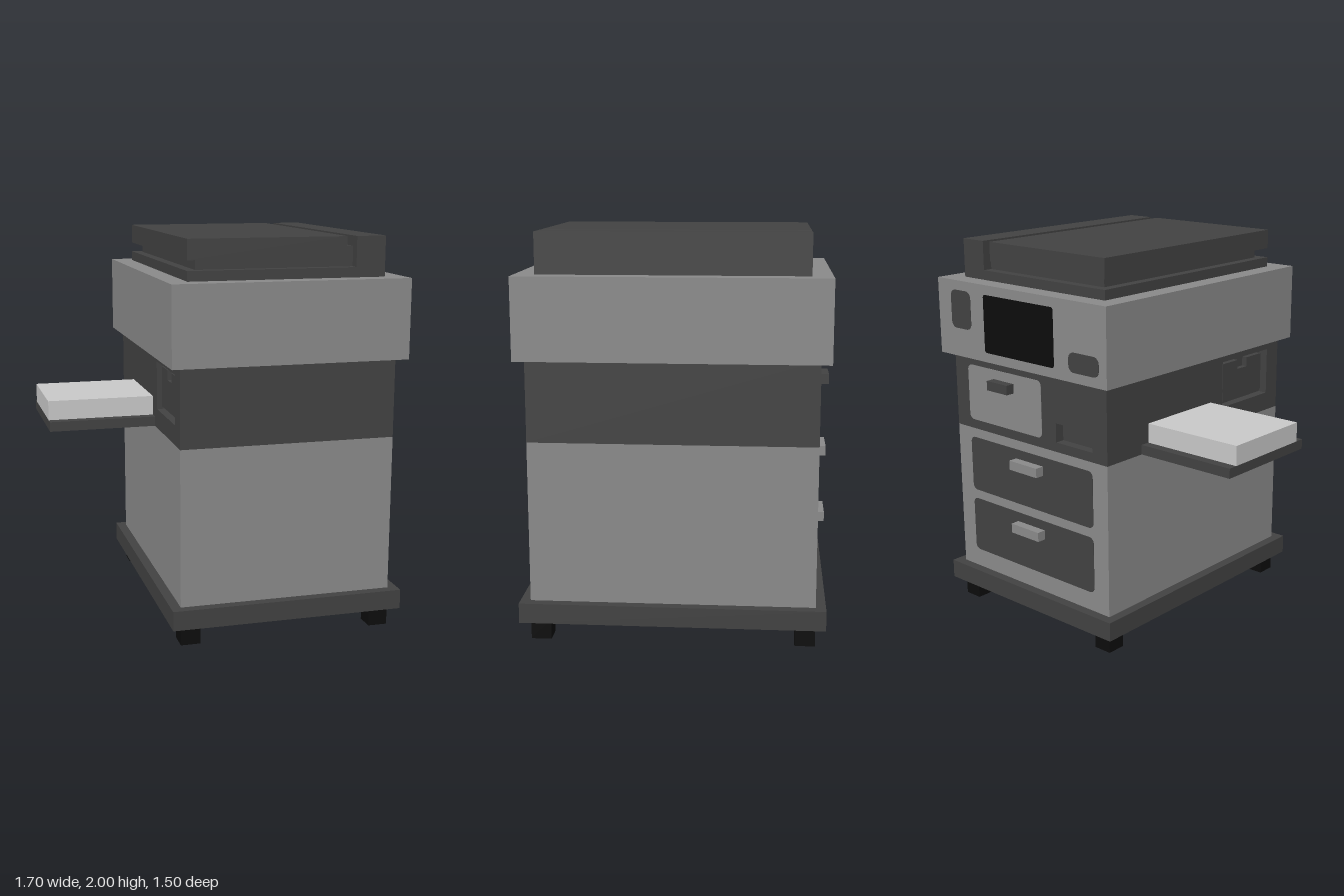
import * as THREE from 'three';

function mat(name, color) {
  const m = new THREE.MeshStandardMaterial({ color });
  m.name = name;
  return m;
}

// Rectangle outline with optional rounded corners
function outline(x0, x1, y0, y1, r = 0, Type = THREE.Shape) {
  const s = new Type();
  if (r === 0) {
    s.moveTo(x0, y0).lineTo(x1, y0).lineTo(x1, y1).lineTo(x0, y1).closePath();
    return s;
  }
  s.absarc(x1 - r, y0 + r, r, -Math.PI / 2, 0);
  s.absarc(x1 - r, y1 - r, r, 0, Math.PI / 2);
  s.absarc(x0 + r, y1 - r, r, Math.PI / 2, Math.PI);
  s.absarc(x0 + r, y0 + r, r, Math.PI, Math.PI * 1.5);
  s.closePath();
  return s;
}

export function createModel() {
  const group = new THREE.Group();
  group.name = 'officeCopier';
  const grey = mat('grey casing', 0x8a8a8a);
  const dark = mat('dark casing', 0x424242);
  const black = mat('black', 0x0c0c0c);
  const white = mat('paper', 0xc9c9c9);

  function add(name, geometry, material) {
    const mesh = new THREE.Mesh(geometry, material);
    mesh.name = name;
    group.add(mesh);
    return mesh;
  }
  // Box given by its limits on each axis
  function box(name, material, x0, x1, y0, y1, z0, z1) {
    const mesh = add(name, new THREE.BoxGeometry(x1 - x0, y1 - y0, z1 - z0), material);
    mesh.position.set((x0 + x1) / 2, (y0 + y1) / 2, (z0 + z1) / 2);
    return mesh;
  }
  const extrude = (shape, depth) =>
    new THREE.ExtrudeGeometry(shape, { depth, bevelEnabled: false, curveSegments: 6 });
  // Thin rounded panel lying on a wall that faces -z
  function panel(name, material, x0, x1, y0, y1, r, wallZ) {
    const mesh = add(name, extrude(outline(x0, x1, y0, y1, r), 0.003), material);
    mesh.position.z = wallZ - 0.002;
  }

  // Feet and base
  for (const x of [-0.3, 0.7])
    for (const z of [-0.7, 0.6]) box('foot', black, x, x + 0.1, 0, 0.1, z, z + 0.1);
  box('basePlate', dark, -0.35, 0.85, 0.1, 0.2, -0.75, 0.75);

  // Cabinet with two drawers
  box('cabinet', grey, -0.3, 0.8, 0.2, 1, -0.7, 0.7);
  for (const y of [0.3, 0.65]) {
    panel('drawerFront', dark, -0.2, 0.7, y, y + 0.3, 0.03, -0.7);
    box('drawerHandle', grey, 0.15, 0.35, y + 0.2, y + 0.25, -0.75, -0.7);
  }

  // Middle section: core plus two walls with recesses
  box('printCore', dark, -0.25, 0.8, 1, 1.4, -0.65, 0.7);
  const frontShape = outline(-0.3, 0.8, 1, 1.4);
  frontShape.holes.push(outline(-0.2, 0.05, 1.05, 1.15, 0, THREE.Path));
  add('controlWall', extrude(frontShape, 0.05), dark).position.z = -0.7;

  const sideShape = outline(-0.65, 0.7, 1, 1.4);
  sideShape.holes.push(outline(0.2, 0.6, 1.1, 1.35, 0, THREE.Path));
  const sideWall = add('sideWall', extrude(sideShape, 0.05), dark);
  sideWall.rotation.y = -Math.PI / 2;
  sideWall.position.x = -0.25;

  // Notched flap inside the side recess
  const flap = new THREE.Shape();
  flap.moveTo(0.23, 1.12).lineTo(0.57, 1.12).lineTo(0.57, 1.33).lineTo(0.44, 1.33);
  flap.lineTo(0.44, 1.28).lineTo(0.36, 1.28).lineTo(0.36, 1.33).lineTo(0.23, 1.33).closePath();
  const sideFlap = add('sideFlap', extrude(flap, 0.03), dark);
  sideFlap.rotation.y = -Math.PI / 2;
  sideFlap.position.x = -0.25;

  // Access door
  panel('accessDoor', grey, 0.15, 0.7, 1.05, 1.35, 0.03, -0.7);
  box('accessDoorHandle', dark, 0.35, 0.5, 1.25, 1.3, -0.75, -0.7);

  // Output tray with paper stack
  box('outputTray', dark, -0.85, -0.3, 1, 1.05, -0.45, 0.15);
  box('paperStack', white, -0.85, -0.3, 1.05, 1.15, -0.4, 0.1);

  // Scanner head with its controls
  box('scannerHead', grey, -0.35, 0.85, 1.4, 1.8, -0.75, 0.75);
  panel('screen', black, 0, 0.5, 1.45, 1.75, 0.015, -0.75);
  panel('keypad', dark, 0.6, 0.75, 1.55, 1.75, 0.035, -0.75);
  panel('buttonPad', dark, -0.3, -0.1, 1.45, 1.55, 0.035, -0.75);

  // Document feeder
  box('feederBase', dark, -0.25, 0.6, 1.8, 1.85, -0.65, 0.65);
  box('feederBlock', dark, 0.6, 0.75, 1.8, 2, -0.65, 0.65);
  box('feederStep', dark, -0.2, 0.55, 1.85, 1.9, -0.6, 0.6);
  box('feederHinge', dark, 0.55, 0.6, 1.85, 1.95, -0.6, 0.6);
  box('feederLid', dark, -0.25, 0.55, 1.9, 2, -0.65, 0.65);

  return group;
}
